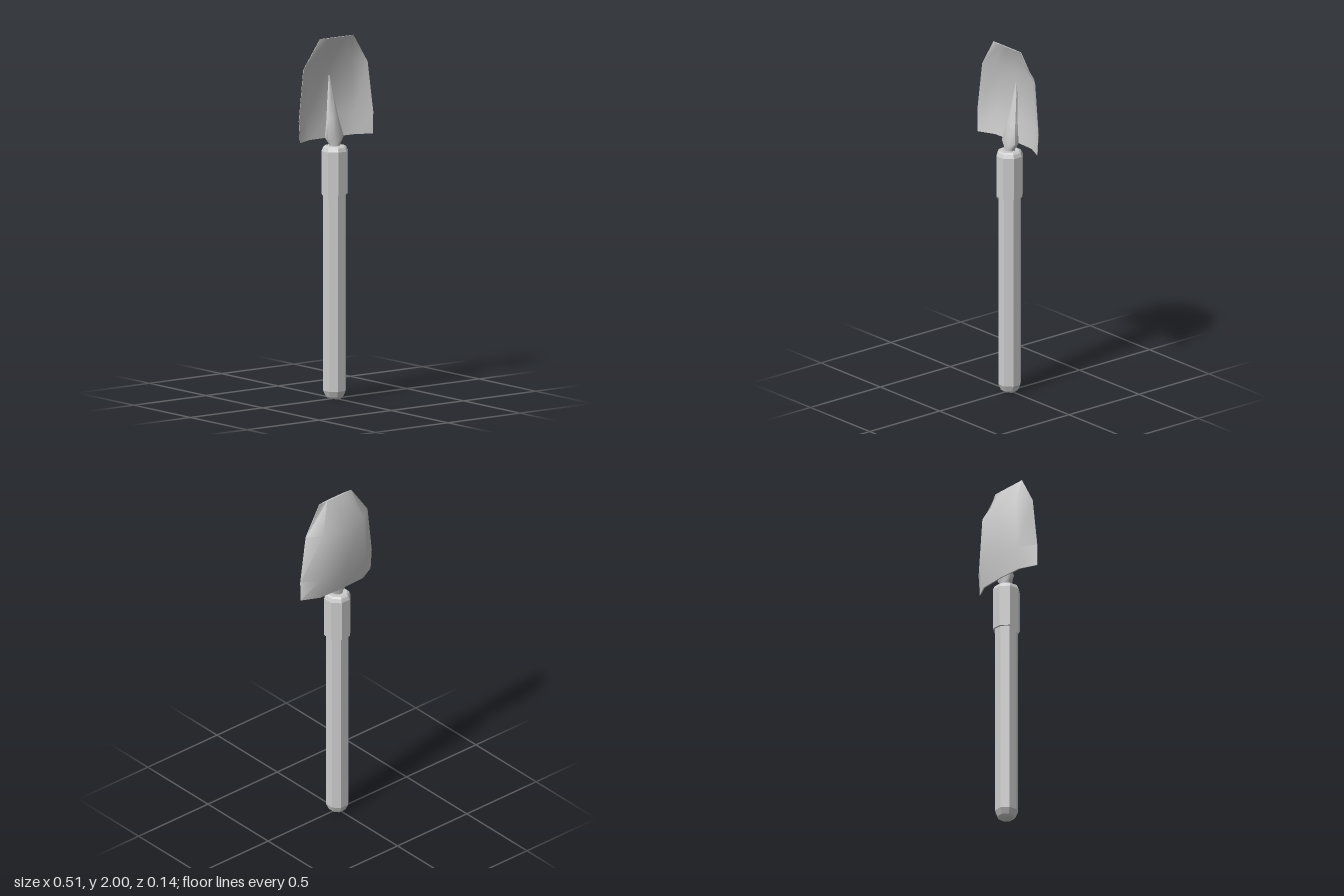
import * as THREE from 'three';
import { toCreasedNormals } from 'three/addons/utils/BufferGeometryUtils.js';

// Skin a stack of closed cross-sections (listed bottom to top, counterclockwise from above)
function loft(rings, crease) {
  const n = rings[0].length;
  const index = [];
  const quad = (a, b, c, d) => index.push(a, b, c, a, c, d);
  for (let i = 0; i < rings.length - 1; i++) {
    for (let j = 0; j < n; j++) {
      const k = (j + 1) % n;
      quad(i * n + j, i * n + k, (i + 1) * n + k, (i + 1) * n + j);
    }
  }
  // End caps, made of strips across the section
  const top = (rings.length - 1) * n;
  for (let j = 0; j < n / 2 - 1; j++) {
    quad(top + j, top + j + 1, top + n - 2 - j, top + n - 1 - j);
    quad(n - 1 - j, n - 2 - j, j + 1, j);
  }
  const geometry = new THREE.BufferGeometry();
  geometry.setAttribute('position', new THREE.Float32BufferAttribute(rings.flat(2), 3));
  geometry.setIndex(index);
  return toCreasedNormals(geometry, crease);
}

// Eight-sided section with a flat side facing the front
function octagon(y, rx, rz = rx, z = 0) {
  return Array.from({ length: 8 }, (_, i) => {
    const a = (i + 0.5) * Math.PI / 4;
    return [Math.cos(a) * rx, y, z - Math.sin(a) * rz];
  });
}

// Dished blade section: front from -x to +x, then back again
function bladeSection([y, xEdge, zEdge, xFold, zFold, zMid]) {
  const half = [[-xEdge, zEdge, 0.003], [-xFold, zFold, 0.008], [0, zMid, 0.008],
    [xFold, zFold, 0.008], [xEdge, zEdge, 0.003]];
  const front = half.map(([x, z, t]) => [x, y, z + t]);
  const back = half.map(([x, z]) => [x, y, z]).reverse();
  return [...front, ...back];
}

export function createModel() {
  const group = new THREE.Group();
  const steel = new THREE.MeshStandardMaterial({ color: 0xcccccc });
  steel.name = 'greySteel';

  const add = (name, geometry) => {
    const mesh = new THREE.Mesh(geometry, steel);
    mesh.name = name;
    group.add(mesh);
  };

  // Handle with a chamfered butt
  add('handle', loft([
    octagon(0, 0.036), octagon(0.012, 0.05), octagon(0.045, 0.065), octagon(1.2, 0.065),
  ], 0.3));

  // Collar, with one corner of its lower rim drawn down
  const rim = octagon(1.135, 0.076);
  rim[4][1] = 1.098;
  add('collar', loft([
    rim, octagon(1.37, 0.076), octagon(1.39, 0.067), octagon(1.398, 0.056),
  ], 0.3));

  // Neck flaring into a socket that tapers away up the front of the blade
  add('socket', loft([
    octagon(1.38, 0.034, 0.03),
    octagon(1.405, 0.032, 0.029),
    octagon(1.445, 0.06, 0.034, -0.004),
    octagon(1.55, 0.037, 0.024, -0.02),
    octagon(1.66, 0.02, 0.014, -0.036),
    octagon(1.78, 0.003, 0.003, -0.049),
  ], 0.9));

  // Blade: y, edge x, edge z, fold x, fold z, middle z
  add('blade', loft([
    [1.44, 0.252, 0.014, 0.155, -0.034, -0.041],
    [1.56, 0.257, 0.01, 0.165, -0.049, -0.056],
    [1.84, 0.222, 0.005, 0.145, -0.052, -0.06],
    [2.0, 0.115, 0.016, 0.06, 0.016, 0.016],
  ].map(bladeSection), 1.0));

  return group;
}
